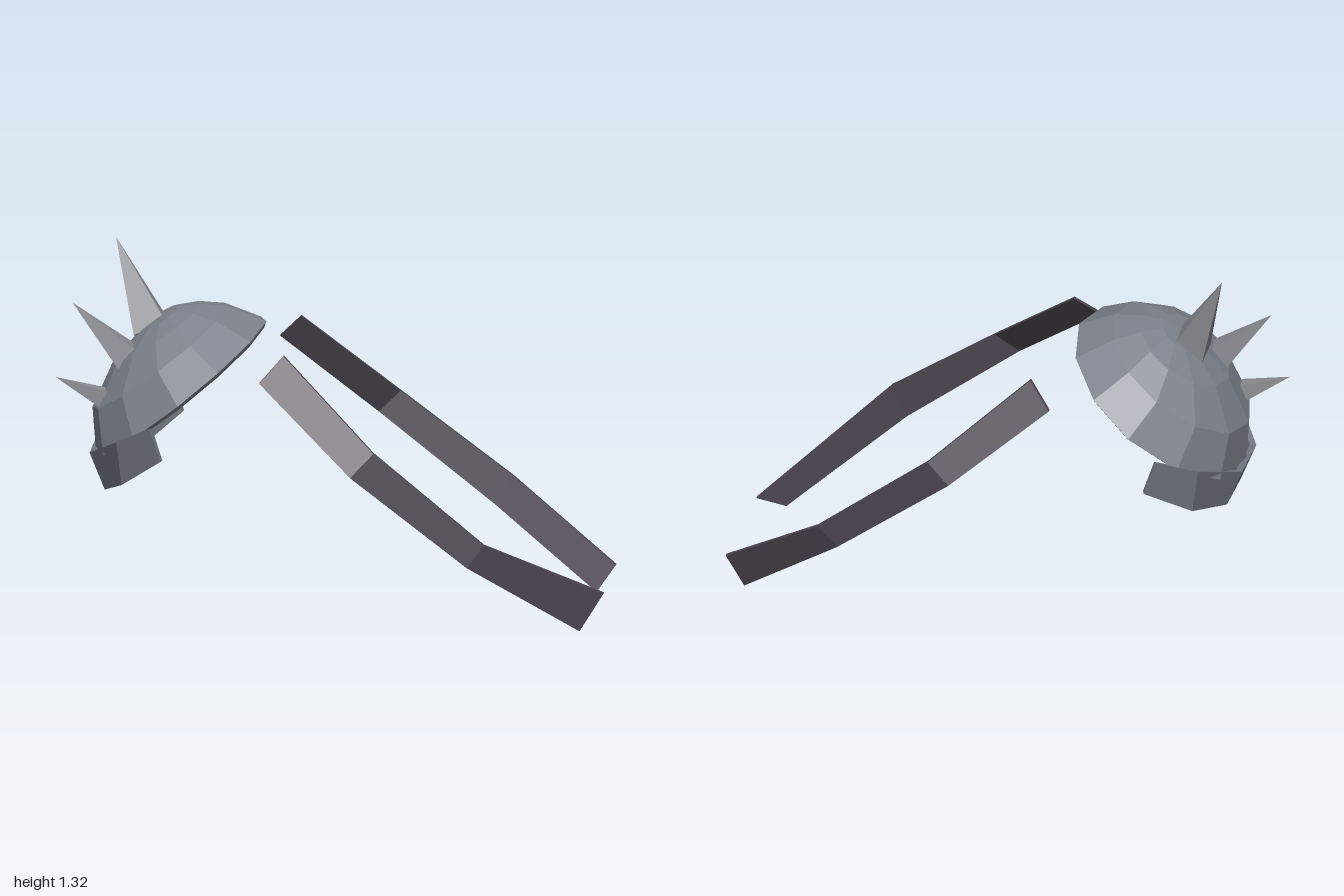
import * as THREE from 'three';

const V = (x, y, z) => new THREE.Vector3(x, y, z);
const mat = (name, color) => {
  const m = new THREE.MeshStandardMaterial({ color });
  m.name = name;
  return m;
};

// Joins equal-length loops of points into a solid that faces outward,
// with one flat normal for each four-sided face. Opposite sides of a
// loop are split along matching diagonals so thin twisted walls stay apart.
function loft(loops, caps) {
  const quads = [];
  const n = loops[0].length;
  for (let i = 0; i < loops.length - 1; i++) {
    const A = loops[i], B = loops[i + 1];
    for (let j = 0; j < n; j++) {
      const k = (j + 1) % n;
      quads.push(j < n / 2 ? [B[j], B[k], A[k], A[j]] : [A[j], B[j], B[k], A[k]]);
    }
  }
  if (caps) quads.push(loops[0], loops[loops.length - 1].slice().reverse());

  let volume = 0;
  for (const [a, b, c, d] of quads) {
    volume += a.dot(b.clone().cross(c)) + a.dot(c.clone().cross(d));
  }
  const points = [], normals = [];
  for (const [a, b, c, d] of quads) {
    const normal = c.clone().sub(a).cross(d.clone().sub(b)).normalize();
    if (volume < 0) normal.negate();
    for (const [p, q, r] of [[a, b, c], [a, c, d]]) {
      if (Math.min(p.distanceTo(q), q.distanceTo(r), r.distanceTo(p)) < 1e-4) continue;
      points.push(...(volume < 0 ? [p, r, q] : [p, q, r]));
      for (let i = 0; i < 3; i++) normals.push(normal.x, normal.y, normal.z);
    }
  }
  const g = new THREE.BufferGeometry().setFromPoints(points);
  g.setAttribute('normal', new THREE.Float32BufferAttribute(normals, 3));
  return g;
}

export function createModel() {
  const group = new THREE.Group();
  const steel = mat('steel', 0x7c818b);
  const guardSteel = mat('dark steel', 0x70747f);
  const spikeSteel = mat('spike steel', 0x8a8c92);
  const leather = mat('dark leather', 0x4e4853);
  spikeSteel.flatShading = true;
  const add = (name, geometry, material) => {
    const mesh = new THREE.Mesh(geometry, material);
    mesh.name = name;
    group.add(mesh);
    return mesh;
  };
  const midZ = -0.08;

  // Tilted dome: each ring has a front point, a back point and a half width
  const rings = [
    [-0.63, 1.055, -0.63, 1.055, 0],
    [-0.56, 1.087, -0.70, 1.0, 0.11],
    [-0.48, 1.097, -0.80, 0.88, 0.22],
    [-0.38, 1.09, -0.875, 0.71, 0.33],
    [-0.245, 1.037, -0.862, 0.54, 0.435],
  ];
  const ringLoop = ([fx, fy, bx, by, w], s) => {
    const k = w * 0.06; // the widest place sits a little forward of the middle
    const mx = (fx + bx) / 2 + k, my = (fy + by) / 2 + k * 0.8;
    const loop = [];
    for (let j = 0; j < 12; j++) {
      const a = (j / 12) * Math.PI * 2, c = Math.cos(a);
      const x = mx + (c > 0 ? c * (fx - mx) : -c * (bx - mx));
      const y = my + (c > 0 ? c * (fy - my) : -c * (by - my));
      loop.push(V(-0.4 + (x + 0.4) * s, 0.6 + (y - 0.6) * s, midZ + w * s * Math.sin(a)));
    }
    return loop;
  };
  const outer = rings.map(r => ringLoop(r, 1));
  const inner = rings.map(r => ringLoop(r, 0.945)).reverse();
  add('helmetDome', loft([...outer, ...inner], false), steel);

  // Neck guard: half of its stations, mirrored about the middle of the dome
  const half = [ // top x, y, half width, then bottom x, y, half width
    [-0.63, 0.727, 0.44, -0.59, 0.608, 0.457],
    [-0.76, 0.65, 0.322, -0.74, 0.493, 0.325],
    [-0.875, 0.565, 0.115, -0.82, 0.43, 0.117],
  ];
  const guardLoop = ([tx, ty, tw, bx, by, bw], side) => {
    const point = (x, y, w, s) =>
      V(-0.45 + (x + 0.45) * s, 0.62 + (y - 0.62) * s, midZ + side * w * s);
    return [point(tx, ty, tw, 1), point(bx, by, bw, 1),
      point(bx, by, bw, 0.945), point(tx, ty, tw, 0.945)];
  };
  add('neckGuard', loft([
    ...half.map(h => guardLoop(h, 1)),
    ...half.slice().reverse().map(h => guardLoop(h, -1)),
  ], true), guardSteel);

  // Three four-sided spikes, flat side forward: tip, base centre, base radius
  const spikes = [
    [V(-0.80, 1.315, -0.19), V(-0.66, 0.995, -0.1), 0.09],
    [V(-0.94, 1.11, 0), V(-0.73, 0.91, 0.018), 0.07],
    [V(-0.997, 0.845, 0.05), V(-0.79, 0.758, 0.048), 0.054],
  ];
  for (const [tip, base, r] of spikes) {
    const dir = tip.clone().sub(base);
    const cone = new THREE.ConeGeometry(r, dir.length(), 4).rotateY(Math.PI / 4);
    const mesh = add('crestSpike', cone, spikeSteel);
    mesh.position.copy(tip).add(base).multiplyScalar(0.5);
    mesh.quaternion.setFromUnitVectors(V(0, 1, 0), dir.normalize());
  }

  // Bent straps share their side outline; only the depth of each edge differs
  const upper = [[-0.153, 0.98], [0.195, 0.68], [0.605, 0.375], [0.997, 0.105]];
  const lower = [[-0.235, 0.893], [0.115, 0.60], [0.54, 0.28], [0.925, 0]];
  const strap = (name, upperZ, lowerZ, side) => {
    const t = -0.018 * side;
    add(name, loft(upper.map(([ux, uy], i) => {
      const [lx, ly] = lower[i];
      return [V(ux, uy, upperZ[i]), V(lx, ly, lowerZ[i]),
        V(lx, ly, lowerZ[i] + t), V(ux, uy, upperZ[i] + t)];
    }), true), leather);
  };
  strap('leftStrap', [0.248, 0.495, 0.61, 0.14], [0.32, 0.545, 0.565, 0.31], 1);
  strap('rightStrap', [-0.465, -0.605, -0.595, -0.365], [-0.525, -0.615, -0.555, -0.38], -1);

  return group;
}
